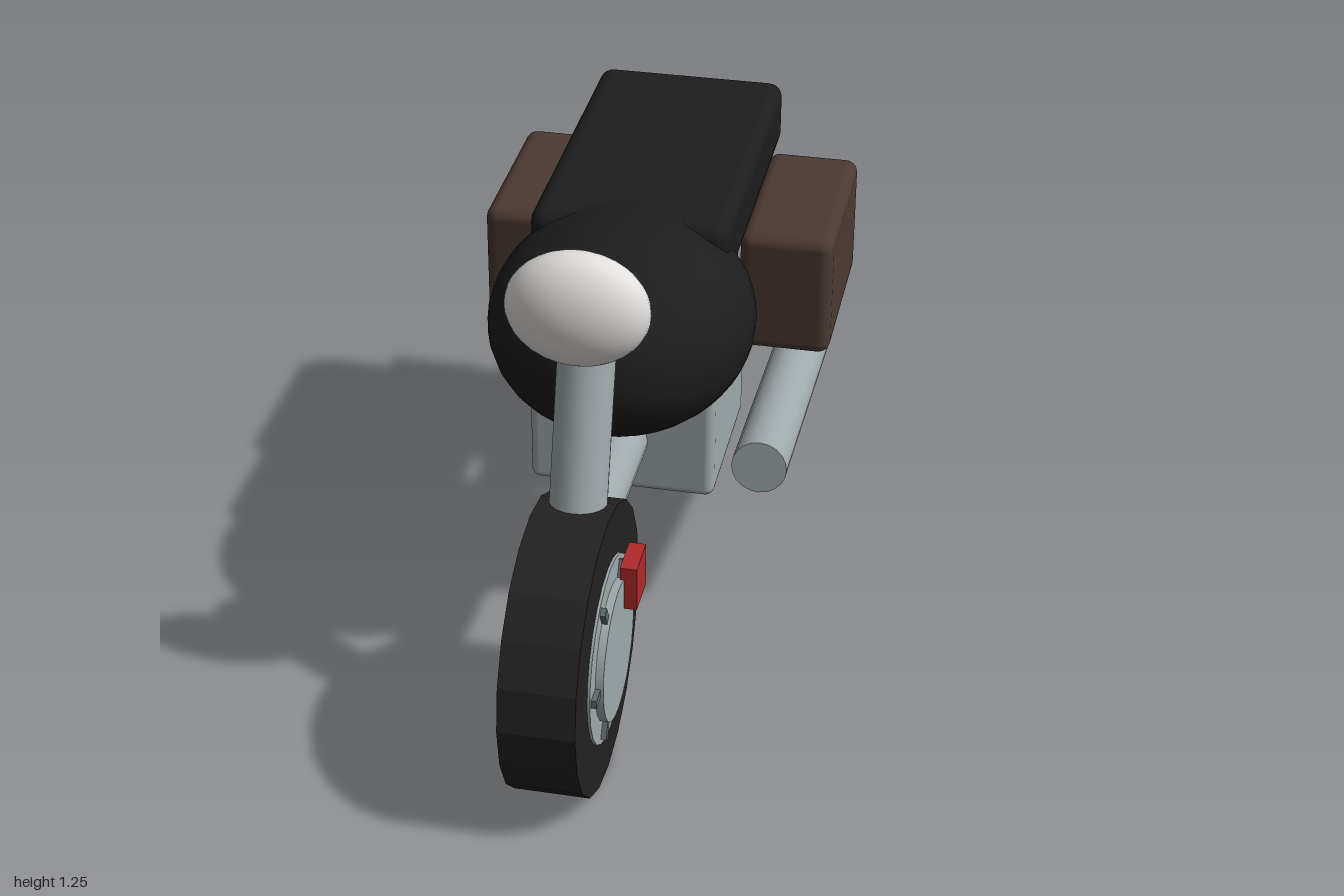
import * as THREE from 'three';
import { RoundedBoxGeometry } from 'three/addons/geometries/RoundedBoxGeometry.js';

const material = (name, color, flatShading = false) => {
  const m = new THREE.MeshStandardMaterial({ color, flatShading });
  m.name = name;
  return m;
};

export function createModel() {
  const tyreBlack = material('tyreBlack', 0x222222, true);
  const black = material('black', 0x1d1d1d);
  const metal = material('metal', 0x9fa9ac);
  const darkMetal = material('darkMetal', 0x5e6a6a);
  const leather = material('leather', 0x4b3931);
  const red = material('red', 0xb02a2c);
  const lampWhite = material('lampWhite', 0xe2dfdc);

  const model = new THREE.Group();
  model.name = 'motorcycle';

  const add = (parent, name, geometry, mat, x = 0, y = 0, z = 0) => {
    const mesh = new THREE.Mesh(geometry, mat);
    mesh.name = name;
    mesh.position.set(x, y, z);
    parent.add(mesh);
    return mesh;
  };

  // Cylinder lying along x between two x positions
  const disc = (parent, name, radius, x0, x1, mat, sides = 24) =>
    add(parent, name, new THREE.CylinderGeometry(radius, radius, x1 - x0, sides).rotateZ(Math.PI / 2), mat, (x0 + x1) / 2);

  // Straight tube between two points
  const tube = (name, from, to, radius, mat) => {
    const a = new THREE.Vector3(...from), b = new THREE.Vector3(...to);
    const mesh = add(model, name, new THREE.CylinderGeometry(radius, radius, a.distanceTo(b), 20), mat);
    mesh.position.copy(a).add(b).multiplyScalar(0.5);
    mesh.quaternion.setFromUnitVectors(new THREE.Vector3(0, 1, 0), b.sub(a).normalize());
  };

  const roundBox = (name, size, pos, radius, mat) =>
    add(model, name, new RoundedBoxGeometry(...size, 3, radius), mat, ...pos);

  const ellipsoid = (name, radii, pos, mat) =>
    add(model, name, new THREE.SphereGeometry(1, 32, 20).scale(...radii), mat, ...pos);

  // Wheels: tyre, solid rim, hub and six spokes on the +x face
  const makeWheel = (name, z) => {
    const wheel = new THREE.Group();
    wheel.name = name;
    wheel.position.set(0, 0.33, z);
    disc(wheel, 'tyre', 0.33, -0.085, 0.085, tyreBlack, 20);
    disc(wheel, 'rim', 0.213, -0.091, 0.091, metal);
    disc(wheel, 'hub', 0.07, -0.1, 0, darkMetal);
    disc(wheel, 'hubCap', 0.045, 0, 0.1, darkMetal);
    for (let i = 0; i < 6; i++) {
      const spoke = new THREE.BoxGeometry(0.018, 0.02, 0.2).translate(0.094, 0, 0.1).rotateX(i * Math.PI / 3);
      add(wheel, 'spoke', spoke, darkMetal);
    }
    model.add(wheel);
    return wheel;
  };
  const frontWheel = makeWheel('frontWheel', 0.67);
  makeWheel('rearWheel', -0.67);

  // Front brake
  disc(frontWheel, 'brakeDisc', 0.16, 0.09, 0.109, metal);
  add(model, 'brakeCaliper', new THREE.BoxGeometry(0.038, 0.108, 0.1), red, 0.119, 0.456, 0.565);

  // Fork, frame and exhaust
  tube('frontFork', [0, 0.33, 0.67], [0, 1.107, 0.435], 0.064, metal);
  tube('frameTube', [0, 0.533, 0.56], [0, 0.505, -0.55], 0.063, metal);
  tube('exhaust', [0.316, 0.441, 0.062], [0.316, 0.367, -0.771], 0.066, metal);

  // Body
  roundBox('engine', [0.438, 0.336, 0.41], [0, 0.552, -0.075], 0.022, metal);
  ellipsoid('fuelTank', [0.305, 0.243, 0.338], [0, 0.844, 0.112], black);
  roundBox('seat', [0.46, 0.163, 0.8], [0, 0.979, -0.341], 0.035, black);
  for (const side of [-1, 1])
    roundBox('saddlebag', [0.225, 0.313, 0.46], [side * 0.313, 0.709, -0.512], 0.03, leather);

  // Lights
  ellipsoid('headlight', [0.157, 0.132, 0.083], [0, 1.123, 0.562], lampWhite);
  roundBox('tailLight', [0.23, 0.076, 0.048], [0, 0.895, -0.782], 0.01, red);

  return model;
}
